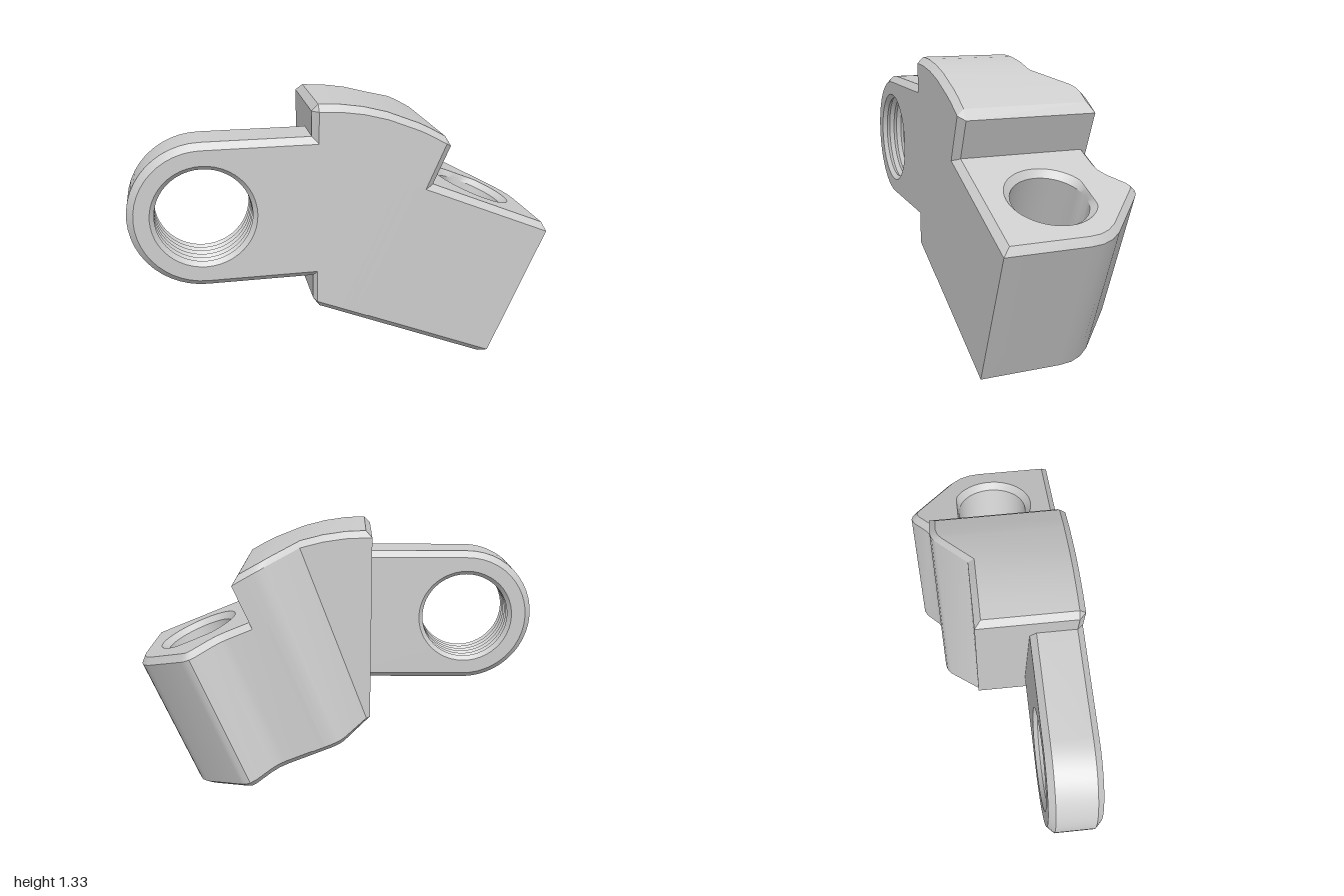
import * as THREE from 'three';
import { toCreasedNormals } from 'three/addons/utils/BufferGeometryUtils.js';

const BEVEL = 0.03;
const TILT = Math.PI / 8;
const C = Math.cos(TILT), S = Math.sin(TILT);
const V2 = (x, y) => new THREE.Vector2(x, y);
const V3 = (x, y, z) => new THREE.Vector3(x, y, z);
const material = new THREE.MeshStandardMaterial({ color: 0xcccccc });

// Lift a flat outline to a given height
const lift = (pts, h) => pts.map(p => V3(p.x, p.y, h));

// Counter-clockwise circle, optionally cut flat at a maximum y
function circle(cx, cy, r, maxY = Infinity, n = 48) {
  return Array.from({ length: n }, (_, i) => {
    const a = (i / n) * Math.PI * 2;
    return V2(cx + r * Math.cos(a), Math.min(maxY, cy + r * Math.sin(a)));
  });
}

// Move a counter-clockwise outline inwards with mitred corners
function inset(pts, d) {
  const n = pts.length;
  const normal = (a, b) => V2(a.y - b.y, b.x - a.x).normalize();
  return pts.map((p, i) => {
    const n1 = normal(pts[(i + n - 1) % n], p), n2 = normal(p, pts[(i + 1) % n]);
    return p.clone().addScaledVector(n1.clone().add(n2), d / (1 + n1.dot(n2)));
  });
}

// Walls through a stack of matching rings
function walls(out, rings) {
  for (let k = 0; k + 1 < rings.length; k++) {
    const A = rings[k], B = rings[k + 1], n = A.length;
    for (let i = 0; i < n; i++) {
      const j = (i + 1) % n;
      out.push(A[i], A[j], B[j], A[i], B[j], B[i]);
    }
  }
}

// Flat cap over a ring, with an optional hole
function cap(out, ring, hole, up) {
  const flat = r => r.map(p => V2(p.x, p.y));
  const all = hole ? [...ring, ...hole] : ring;
  const tris = THREE.ShapeUtils.triangulateShape(flat(ring), hole ? [flat(hole)] : []);
  for (const [a, b, c] of tris) {
    const area = THREE.ShapeUtils.area([all[a], all[b], all[c]]);
    if ((area > 0) === up) out.push(all[a], all[b], all[c]);
    else out.push(all[a], all[c], all[b]);
  }
}

function makeMesh(name, tris, basis) {
  const geometry = new THREE.BufferGeometry().setFromPoints(tris);
  if (basis) geometry.applyMatrix4(basis);
  const mesh = new THREE.Mesh(toCreasedNormals(geometry, 0.45), material);
  mesh.name = name;
  return mesh;
}

// Prism with bevelled rims
const bevelledRings = (outline, lo, hi) => {
  const small = inset(outline, BEVEL);
  return [lift(small, lo), lift(outline, lo + BEVEL), lift(outline, hi - BEVEL), lift(small, hi)];
};

const BOTTOM = 0.268, SHELF = 1.015;

// Tilted block with a blind socket in its shelf
function socketBlock() {
  const outline = [
    [-0.06, -0.38], [0.67, -0.38], [0.67, 0], [0.663, 0.06], [0.64, 0.115], [0.6, 0.165],
    [0.385, 0.353], [0.362, 0.37], [0.335, 0.377], [0.3, 0.363], [0.225, 0.3],
    [0.19, 0.281], [0.15, 0.275], [-0.06, 0.275],
  ].map(p => V2(...p));
  const rings = bevelledRings(outline, BOTTOM, SHELF);
  const rim = circle(0.353, -0.05, 0.205, 0.133), bore = circle(0.353, -0.05, 0.175, 0.133);
  const hole = [lift(rim, SHELF), lift(bore, SHELF - BEVEL), lift(bore, 0.45)];
  const tris = [];
  walls(tris, rings);
  cap(tris, rings[0], null, false);
  cap(tris, rings[3], hole[0], true);
  walls(tris, hole);
  cap(tris, hole[2], null, true);
  const basis = new THREE.Matrix4().makeBasis(V3(C, -S, 0), V3(0, 0, -1), V3(S, C, 0));
  return makeMesh('socketBlock', tris, basis);
}

// Taller body with an arched top, a vertical left wall and a sloping back
function archedBody() {
  // Each column: x at the bottom, x at the top, front z, back z
  const columns = [
    [-0.165, -0.165, 0.35, -0.11], [-0.15, -0.135, 0.38, -0.11], [-0.149, -0.04, 0.38, -0.11],
    [-0.148, 0.07, 0.38, -0.11], [-0.147, 0.18, 0.38, -0.11], [-0.035, 0.33, 0.38, -0.25],
    [-0.01, 0.355, 0.38, -0.267], [0.025, 0.39, 0.38, -0.275], [0.098, 0.46, 0.38, -0.275],
    [0.124, 0.49, 0.35, -0.275],
  ];
  const arch = x => 1.335 - 0.51 * Math.max(0, x + 0.13) ** 2;
  const floor = x => (BOTTOM - S * x) / C;
  const ring = (col, bevel, heightAt) => {
    const x0 = columns[0][col], x1 = columns[columns.length - 1][col];
    const point = (c, z) => {
      const x = THREE.MathUtils.clamp(c[col], x0 + bevel, x1 - bevel);
      return V3(x, -z, heightAt(x));
    };
    const front = columns.map(c => point(c, Math.min(c[2], 0.38 - bevel)));
    const back = columns.map(c => point(c, c[3] + bevel)).reverse();
    return [...front, ...back];
  };
  const rings = [
    ring(0, BEVEL, floor), ring(0, 0, x => floor(x) + BEVEL),
    ring(1, 0, x => arch(x) - BEVEL), ring(1, BEVEL, arch),
  ];
  const tris = [];
  walls(tris, rings);
  // Top and bottom as strips between matching front and back points
  const bottom = rings[0], top = rings[3], last = top.length - 1;
  for (let i = 0; i + 1 < columns.length; i++) {
    const j = i + 1, bi = last - i, bj = last - j;
    tris.push(top[i], top[j], top[bj], top[i], top[bj], top[bi]);
    tris.push(bottom[i], bottom[bj], bottom[j], bottom[i], bottom[bi], bottom[bj]);
  }
  const basis = new THREE.Matrix4().makeBasis(V3(1, 0, 0), V3(0, 0, -1), V3(0, 1, 0));
  return makeMesh('archedBody', tris, basis);
}

// Flat round-ended lug with a threaded through hole
function threadedLug() {
  const cx = -0.66, cy = 0.85, r = 0.34, back = 0.135, front = 0.38;
  const outline = [V2(-0.05, cy - r), V2(-0.05, cy + r)];
  for (let i = 0; i <= 24; i++) {
    const a = Math.PI * (0.5 + i / 24);
    outline.push(V2(cx + r * Math.cos(a), cy + r * Math.sin(a)));
  }
  const rings = bevelledRings(outline, back, front);
  const steps = 12;
  const thread = Array.from({ length: steps + 1 }, (_, i) =>
    lift(circle(cx, cy, i % 2 ? 0.22 : 0.24), front + (back - front) * i / steps));
  const tris = [];
  walls(tris, rings);
  cap(tris, rings[0], thread[steps], false);
  cap(tris, rings[3], thread[0], true);
  walls(tris, thread);
  return makeMesh('threadedLug', tris);
}

export function createModel() {
  const model = new THREE.Group();
  model.name = 'bracket';
  model.add(socketBlock(), archedBody(), threadedLug());
  return model;
}
